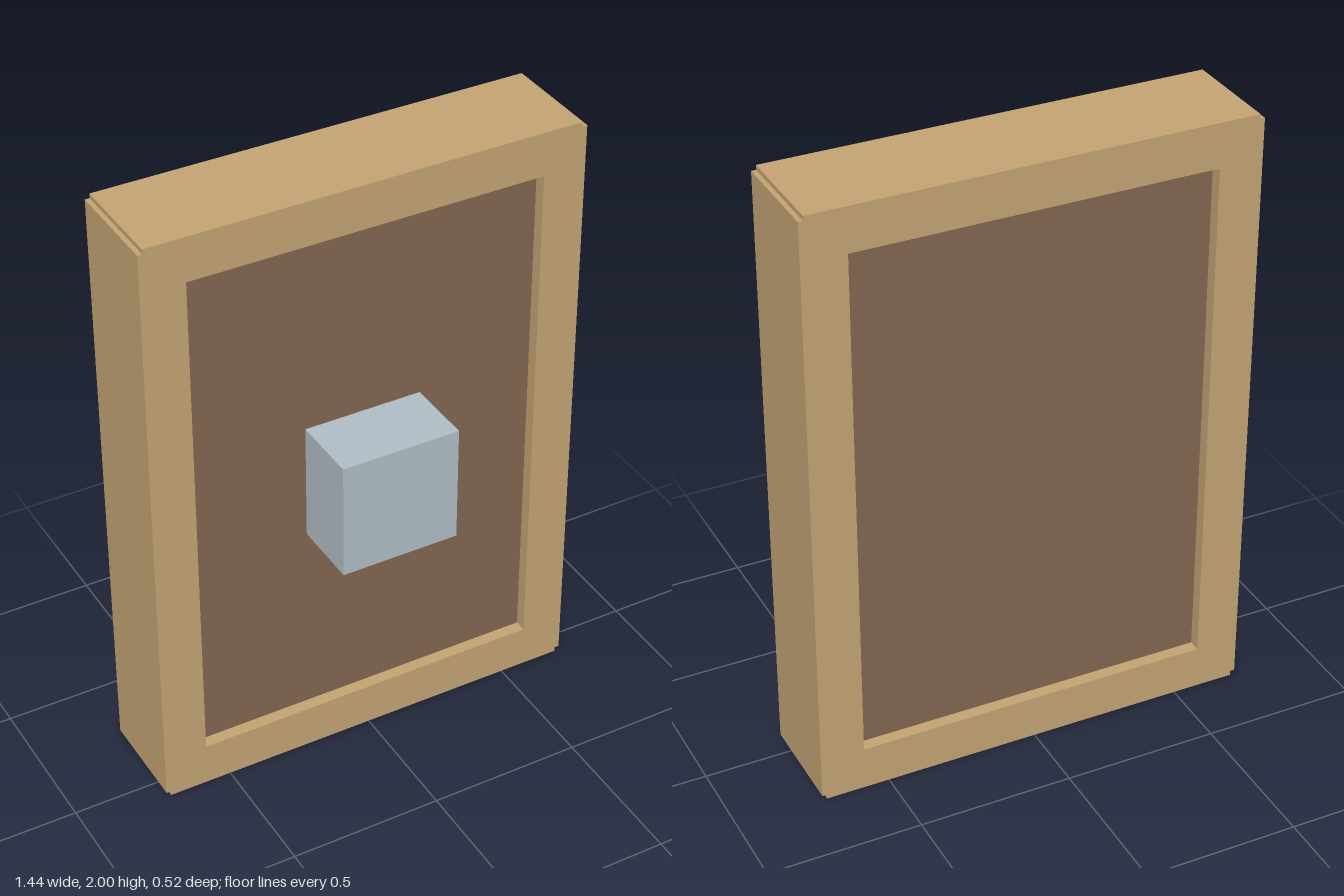
import * as THREE from 'three';

const material = (color) => new THREE.MeshStandardMaterial({ color });

function addBox(group, name, size, position, mat) {
  const mesh = new THREE.Mesh(new THREE.BoxGeometry(...size), mat);
  mesh.name = name;
  mesh.position.set(...position);
  group.add(mesh);
}

export function createModel() {
  const model = new THREE.Group();
  model.name = 'framedPanel';

  const halfW = 0.722, halfH = 1, notch = 0.015;
  const openW = 0.58, openH = 0.855;
  const back = -0.262, front = 0.073, recess = 0.04;

  // Frame outline with a small step at each corner, and the opening cut through
  const x = halfW - notch, y = halfH - notch;
  const outline = new THREE.Shape([
    [x, -halfH], [x, -y], [halfW, -y], [halfW, y], [x, y], [x, halfH],
    [-x, halfH], [-x, y], [-halfW, y], [-halfW, -y], [-x, -y], [-x, -halfH],
  ].map(([px, py]) => new THREE.Vector2(px, py)));
  outline.holes.push(new THREE.Path([
    [-openW, -openH], [-openW, openH], [openW, openH], [openW, -openH],
  ].map(([px, py]) => new THREE.Vector2(px, py))));
  const frame = new THREE.Mesh(
    new THREE.ExtrudeGeometry(outline, { depth: front - back, bevelEnabled: false }),
    material(0xc4a474),
  );
  frame.name = 'frame';
  frame.position.set(0, 1, back);
  model.add(frame);

  // Panel set back from both faces of the frame
  addBox(model, 'panel', [openW * 2, openH * 2, front - back - recess * 2],
    [0, 1, (front + back) / 2], material(0x826650));

  // Block standing out from the middle of the panel
  const blockBack = front - recess, blockFront = 0.262;
  addBox(model, 'block', [0.39, 0.39, blockFront - blockBack],
    [0, 1.003, (blockFront + blockBack) / 2], material(0xb0bec5));

  return model;
}
